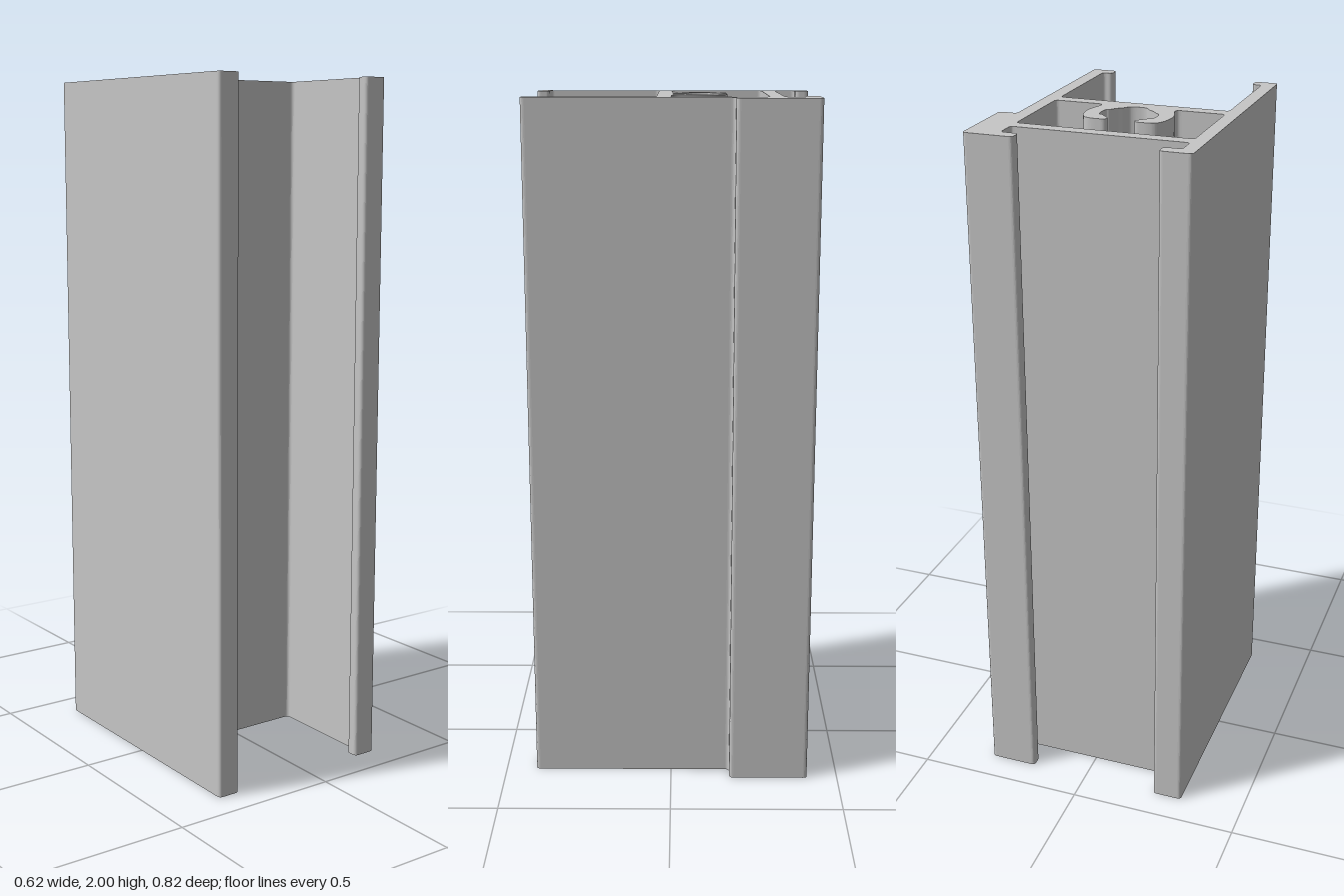
import * as THREE from 'three';

// Trace a closed polygon of [x, z, corner radius] with softened corners
function tracePath(path, points) {
  const pts = points.map(([x, z]) => new THREE.Vector2(x, -z));
  const n = pts.length;
  pts.forEach((p, i) => {
    const radius = points[i][2] ?? 0.012;
    const toward = (q) => {
      const d = p.distanceTo(q);
      return p.clone().lerp(q, Math.min(radius, d * 0.48) / d);
    };
    const a = toward(pts[(i + n - 1) % n]);
    const b = toward(pts[(i + 1) % n]);
    if (i === 0) path.moveTo(a.x, a.y);
    else path.lineTo(a.x, a.y);
    path.quadraticCurveTo(p.x, p.y, b.x, b.y);
  });
  path.closePath();
  return path;
}

export function createModel() {
  const group = new THREE.Group();
  group.name = 'extrudedProfile';
  const aluminium = new THREE.MeshStandardMaterial({ color: 0xc6c6c6 });
  aluminium.name = 'aluminium grey';

  // Outer outline: rear lips, stepped right flange, front legs with lips
  const outline = [
    [-0.312, -0.41], [-0.223, -0.41], [-0.223, -0.372], [-0.273, -0.372],
    [-0.273, -0.311], [0.22, -0.311], [0.22, -0.372], [0.17, -0.372],
    [0.17, -0.41], [0.312, -0.41], [0.312, -0.176], [0.26, -0.176],
    [0.26, 0.41], [0.19, 0.41], [0.19, 0.372], [0.22, 0.372],
    [0.22, 0.04], [-0.273, 0.04], [-0.273, 0.372], [-0.245, 0.372],
    [-0.245, 0.41], [-0.312, 0.41],
  ];
  const shape = tracePath(new THREE.Shape(), outline);

  // Half of the screw channel, from outer foot round the claw to the middle:
  // [distance from the channel's centre, z, corner radius]
  const centre = -0.028;
  const claw = [
    [0.11, 0], [0.106, -0.016], [0.118, -0.046, 0.03], [0.124, -0.08, 0.03],
    [0.118, -0.122, 0.03], [0.105, -0.15, 0.03], [0.084, -0.159, 0.03],
    [0.043, -0.159], [0.037, -0.144], [0.046, -0.133], [0.063, -0.115],
    [0.07, -0.108, 0.005], [0.077, -0.107, 0.003], [0.081, -0.082, 0.02],
    [0.076, -0.057, 0.003], [0.067, -0.053, 0.008], [0.055, -0.036, 0.008],
    [0.034, -0.019, 0.008], [0.027, -0.006, 0.008], [0.012, -0.001, 0.01],
  ];
  const rightClaw = claw.map(([d, z, r]) => [centre + d, z, r]);
  const leftClaw = claw.map(([d, z, r]) => [centre - d, z, r]).reverse();

  // Closed chamber containing the channel, wound opposite to the outline
  const chamber = [
    [-0.273, -0.271], [0.22, -0.271], [0.22, 0],
    ...rightClaw, ...leftClaw, [-0.273, 0],
  ].reverse();
  shape.holes.push(tracePath(new THREE.Path(), chamber));

  // Extrude the section upright
  const extruded = new THREE.ExtrudeGeometry(shape, {
    depth: 2, bevelEnabled: false, curveSegments: 6,
  });
  extruded.rotateX(-Math.PI / 2);
  const body = new THREE.Mesh(extruded, aluminium);
  body.name = 'profileBody';
  group.add(body);
  return group;
}
